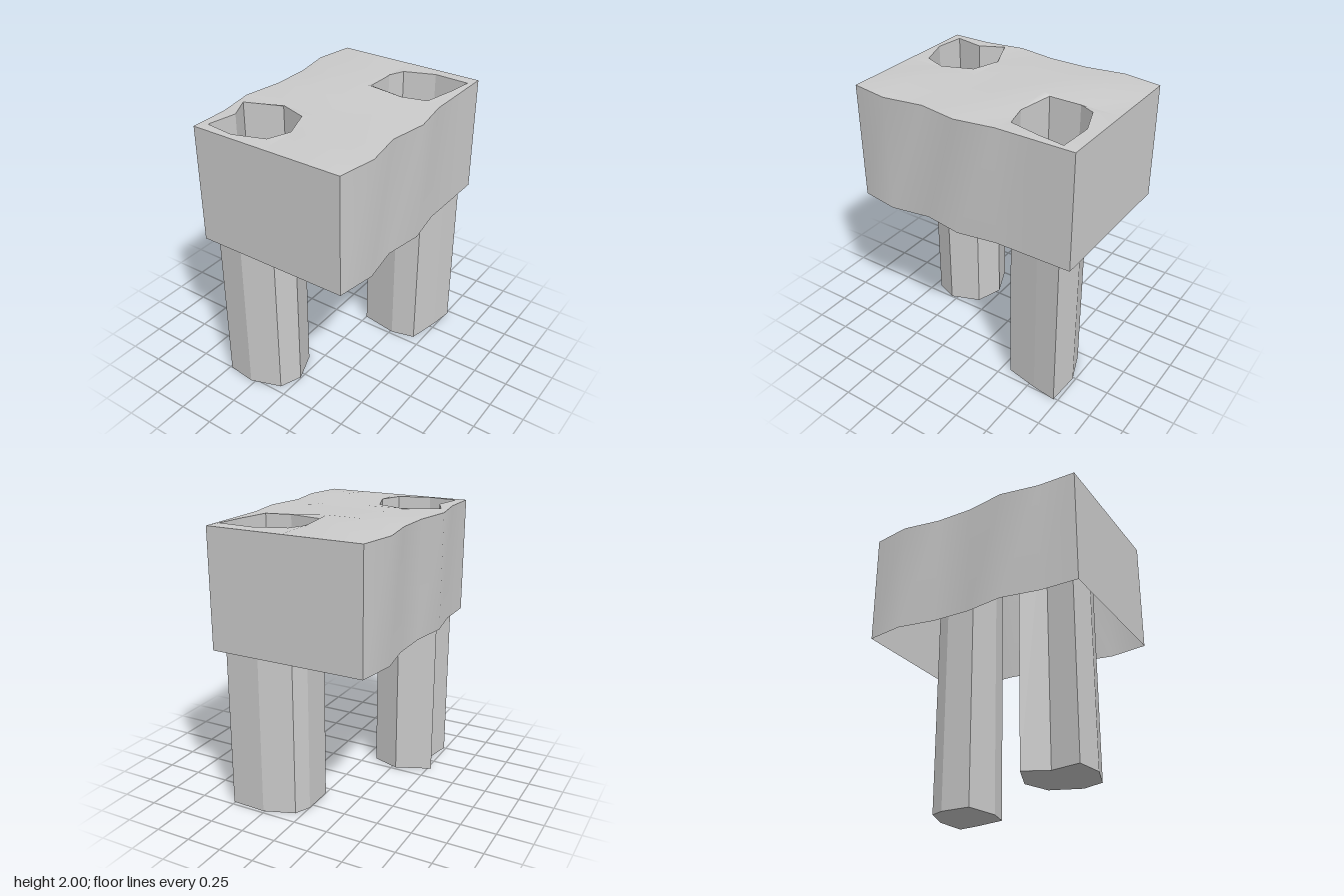
import * as THREE from 'three';

const STEP = 0.2717, LOW = 1.976, HIGH = 2, SKIRT = 1.16;
const COLS = 7, ROWS = 5;

// Outward bumps on the wavy long edges, and the raised points of the top (column, row)
const frontBump = [0, 0.045, 0, 0.045, 0, 0, 0];
const backBump = [0, 0, 0.045, 0, 0, 0.045, 0];
const raised = ['1,3', '3,3', '3,1', '4,2', '4,1', '5,1'];

// Leg outlines (x, z), clockwise from the back corner; block = first grid cell of the 2 x 2 patch each one cuts
const legs = [
  { name: 'backLeg', block: [0, 0], outline: [[-0.75, -0.485], [-0.545, -0.445], [-0.38, -0.525], [-0.272, -0.28],
    [-0.335, -0.085], [-0.545, -0.005], [-0.7, -0.065], [-0.775, -0.28]] },
  { name: 'frontLeg', block: [4, 2], outline: [[0.315, 0], [0.54, 0], [0.65, 0.05], [0.73, 0.26],
    [0.72, 0.51], [0.545, 0.485], [0.315, 0.435], [0.272, 0.265]] },
];
const ringCells = [[0, 0], [1, 0], [2, 0], [2, 1], [2, 2], [1, 2], [0, 2], [0, 1]];

function makeMesh(name, points, index, flatShading = false) {
  const geometry = new THREE.BufferGeometry();
  geometry.setAttribute('position', new THREE.Float32BufferAttribute(points.flat(), 3));
  geometry.setIndex(index);
  geometry.computeVertexNormals();
  const mesh = new THREE.Mesh(geometry,
    new THREE.MeshStandardMaterial({ color: 0xcccccc, side: THREE.DoubleSide, flatShading }));
  mesh.name = name;
  return mesh;
}

// Vertical wall following a path of (x, z), from top to bottom
function makeWall(name, path, top, bottom, flat) {
  const n = path.length, index = [];
  const points = [top, bottom].flatMap((y) => path.map(([x, z]) => [x, y, z]));
  for (let i = 0; i < n - 1; i++) index.push(i, i + n, i + 1, i + 1, i + n, i + n + 1);
  return makeMesh(name, points, index, flat);
}

function gridPoint(c, r) {
  let z = (r - 2) * STEP;
  if (r === 0) z -= backBump[c];
  if (r === ROWS - 1) z += frontBump[c];
  return [(c - 3) * STEP, raised.includes(`${c},${r}`) ? HIGH : LOW, z];
}

// Gently uneven top with a ring of faces around each opening
function makeTop() {
  const points = [], index = [];
  const id = (c, r) => r * COLS + c;
  const quad = (a, b, d, e) => index.push(a, d, b, b, d, e);
  for (let r = 0; r < ROWS; r++) for (let c = 0; c < COLS; c++) points.push(gridPoint(c, r));
  const inBlock = (c, r) => legs.some(({ block: [bc, br] }) => c >= bc && c < bc + 2 && r >= br && r < br + 2);
  for (let r = 0; r < ROWS - 1; r++) for (let c = 0; c < COLS - 1; c++) {
    if (!inBlock(c, r)) quad(id(c, r), id(c + 1, r), id(c, r + 1), id(c + 1, r + 1));
  }
  for (const { block, outline } of legs) {
    const start = points.length;
    const outer = ringCells.map(([c, r]) => id(block[0] + c, block[1] + r));
    outline.forEach(([x, z]) => points.push([x, LOW + 0.004, z]));
    for (let i = 0; i < 8; i++) {
      const j = (i + 1) % 8;
      quad(outer[i], outer[j], start + i, start + j);
    }
  }
  return makeMesh('top', points, index);
}

// Hollow leg, open at the top and closed at the foot
function makeLeg({ name, outline }) {
  const leg = new THREE.Group();
  leg.name = name;
  const loop = [...outline].reverse();
  leg.add(makeWall(name + 'Wall', [...loop, loop[0]], LOW + 0.004, 0, true));
  const n = loop.length, index = [];
  const centre = [0, 1].map((k) => loop.reduce((sum, p) => sum + p[k], 0) / n);
  const points = [...loop, centre].map(([x, z]) => [x, 0, z]);
  for (let i = 0; i < n; i++) index.push(n, (i + 1) % n, i);
  leg.add(makeMesh(name + 'Foot', points, index, true));
  return leg;
}

export function createModel() {
  const model = new THREE.Group();
  model.name = 'hollowBlockOnLegs';
  model.add(makeTop());

  // Skirt, open underneath
  const edge = (r) => Array.from({ length: COLS }, (_, c) => gridPoint(c, r)).map(([x, , z]) => [x, z]);
  const front = edge(ROWS - 1), back = edge(0).reverse();
  const sides = {
    frontWall: front,
    leftWall: [front[COLS - 1], back[0]],
    backWall: back,
    rightWall: [back[COLS - 1], front[0]],
  };
  for (const [name, path] of Object.entries(sides)) model.add(makeWall(name, path, LOW, SKIRT));

  legs.forEach((leg) => model.add(makeLeg(leg)));
  return model;
}
